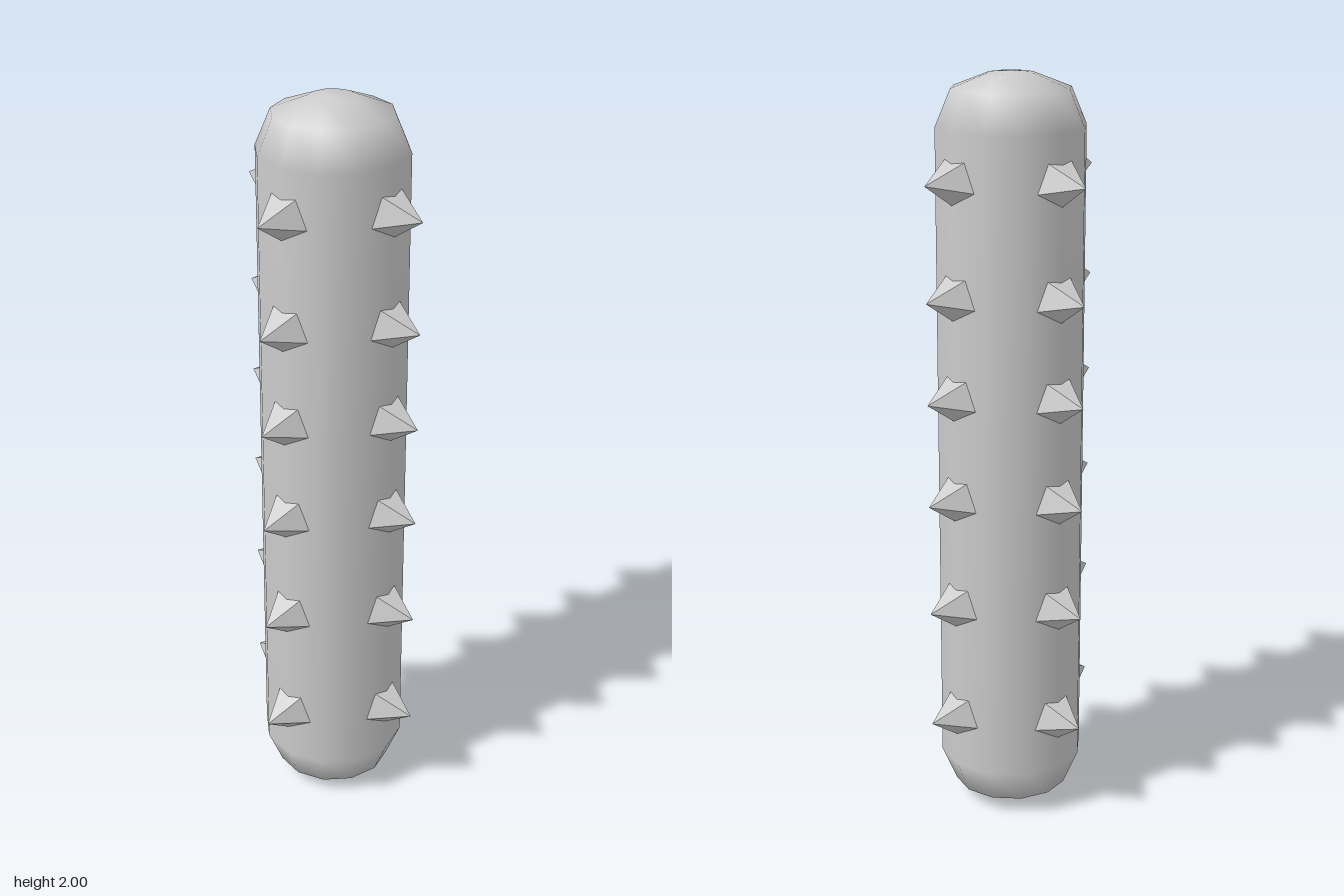
import * as THREE from 'three';

export function createModel() {
  const model = new THREE.Group();
  const smooth = new THREE.MeshStandardMaterial({ color: 0xcccccc });
  const faceted = new THREE.MeshStandardMaterial({ color: 0xcccccc, flatShading: true });

  // Twelve-sided post with rounded ends, mirrored about its middle
  const lower = [[0, 0], [0.06, 0.005], [0.155, 0.042], [0.195, 0.137]];
  const upper = lower.map(([r, y]) => [r, 2 - y]).reverse();
  const profile = [...lower, ...upper].map(([r, y]) => new THREE.Vector2(r, y));
  const post = new THREE.Mesh(new THREE.LatheGeometry(profile, 12), smooth);
  post.name = 'post';
  model.add(post);

  // Five-sided spike pointing outward, its base sunk into the post
  const tip = 0.28, base = 0.155;
  const spikeGeometry = new THREE.ConeGeometry(0.085, tip - base, 5)
    .rotateX(Math.PI / 2)
    .translate(0, 0, (tip + base) / 2);

  // Rings of four spikes up the post
  [0.285, 0.605, 0.905, 1.18, 1.445, 1.74].forEach((y) => {
    const ring = new THREE.Group();
    ring.name = 'spikeRing';
    ring.position.y = y;
    for (let i = 0; i < 4; i++) {
      const spike = new THREE.Mesh(spikeGeometry, faceted);
      spike.name = 'spike';
      spike.rotation.y = (i * Math.PI) / 2;
      ring.add(spike);
    }
    model.add(ring);
  });

  return model;
}
